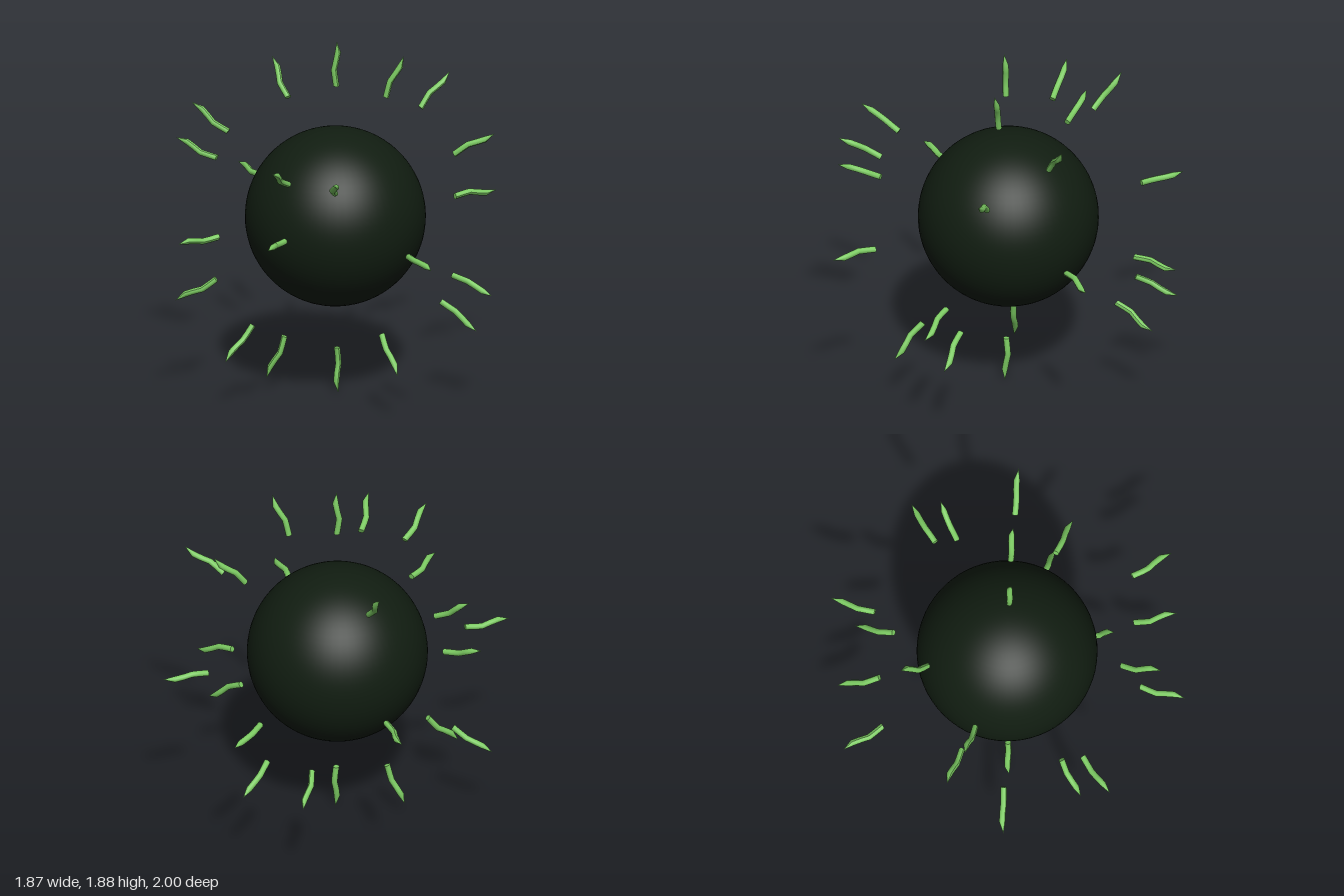
import * as THREE from 'three';

// Rows of a spike from root to point: height, sideways drift in x and z, radius
const ROWS = [
  [0, -0.002, 0.013, 0.016],
  [0.05, -0.009, 0.011, 0.016],
  [0.09, -0.013, 0.009, 0.016],
  [0.135, -0.003, 0.013, 0.016],
  [0.18, 0.004, 0.018, 0.016],
  [0.24, -0.004, 0.022, 0.0003],
];

// Kinked rod with a sharp point, made by shifting the rows of a cylinder
function spikeGeometry() {
  const n = ROWS.length - 1;
  const geo = new THREE.CylinderGeometry(1, 1, 1, 10, n);
  const pos = geo.attributes.position;
  for (let i = 0; i < pos.count; i++) {
    const [h, dx, dz, r] = ROWS[Math.round((pos.getY(i) + 0.5) * n)];
    pos.setXYZ(i, pos.getX(i) * r + dx, h, pos.getZ(i) * r + dz);
  }
  geo.computeVertexNormals();
  return geo;
}

// Roots of one half of the spikes, measured from the ball's centre
const ROOTS = [
  [0, 0.70, 0], [0.695, 0, 0], [0, 0, 0.76],
  [0, 0.495, -0.495], [0.495, 0.505, 0],
  [0.21, 0.65, 0.145], [0.495, 0.36, 0.355],
  [0.56, -0.08, -0.445], [0.39, -0.22, 0.54],
  [0.495, -0.355, -0.37], [0.325, -0.335, -0.56],
  [0.375, -0.385, 0.45],
];

export function createModel() {
  const model = new THREE.Group();
  model.name = 'spikyBall';
  const center = new THREE.Vector3(0, 0.95, 0);

  // Dark core
  const core = new THREE.Mesh(
    new THREE.SphereGeometry(0.463, 64, 40),
    new THREE.MeshStandardMaterial({ color: 0x111d11 })
  );
  core.name = 'core';
  core.position.copy(center);
  model.add(core);

  // Floating spikes, each paired with one on the opposite side
  const spikes = new THREE.Group();
  spikes.name = 'spikes';
  spikes.position.copy(center);
  const geo = spikeGeometry();
  const green = new THREE.MeshStandardMaterial({ color: 0x7ccb62 });
  const up = new THREE.Vector3(0, 1, 0);
  for (const root of ROOTS) {
    for (const side of [1, -1]) {
      const spike = new THREE.Mesh(geo, green);
      spike.name = 'spike';
      spike.position.set(...root).multiplyScalar(side);
      spike.quaternion.setFromUnitVectors(up, spike.position.clone().normalize());
      spikes.add(spike);
    }
  }
  model.add(spikes);
  return model;
}
